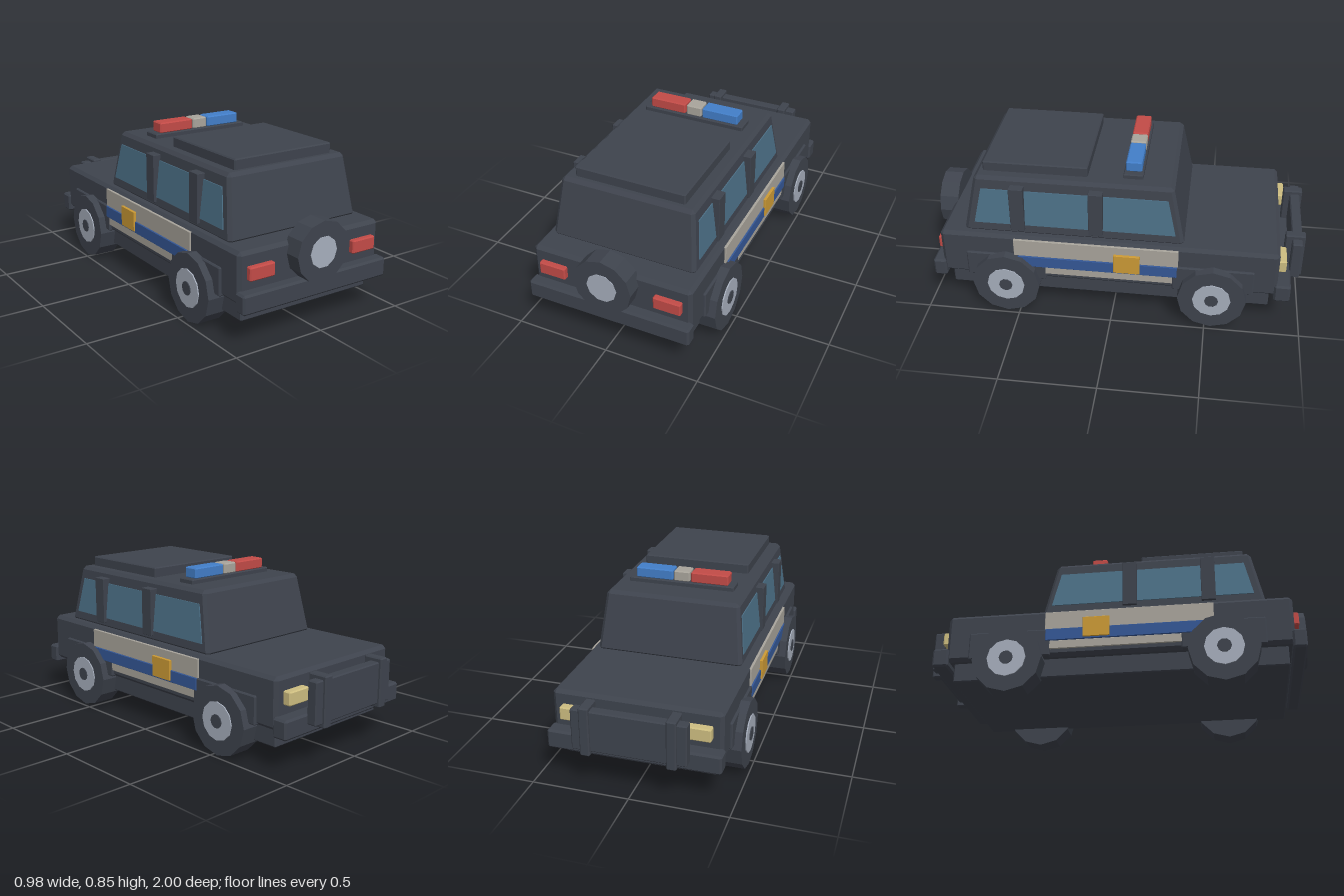
import * as THREE from 'three';
import { ConvexGeometry } from 'three/addons/geometries/ConvexGeometry.js';

const V = (x, y, z) => new THREE.Vector3(x, y, z);

const material = (name, color) => {
  const m = new THREE.MeshStandardMaterial({ color });
  m.name = name;
  return m;
};

// Box between two corners with chamfered edges; warp can reshape its points.
function chamferBox(min, max, bevel, warp = p => p) {
  const points = [];
  const at = (axis, end, inset) => end ? max[axis] - inset : min[axis] + inset;
  for (let i = 0; i < 8; i++) {
    const ends = [i & 1, (i >> 1) & 1, (i >> 2) & 1];
    for (let face = 0; face < 3; face++) {
      const c = ends.map((e, axis) => at(axis, e, axis === face ? 0 : bevel));
      points.push(warp(V(...c)));
    }
  }
  return new ConvexGeometry(points);
}

// Faceted disc; axis is 'x' or 'z'.
function disc(radius, width, sides, axis, spin = 0) {
  const g = new THREE.CylinderGeometry(radius, radius, width, sides).toNonIndexed();
  g.rotateY(spin);
  if (axis === 'x') g.rotateZ(Math.PI / 2);
  else g.rotateX(Math.PI / 2);
  g.computeVertexNormals();
  return g;
}

export function createModel() {
  const car = new THREE.Group();
  car.name = 'patrolCar';

  const paint = material('dark paint', 0x3e434d);
  const glass = material('window glass', 0x4b6f86);
  const red = material('red lamp', 0xc24b47);
  const blue = material('blue lamp', 0x427ec8);
  const navy = material('navy stripe', 0x345796);
  const stone = material('pale stripe', 0xa8a49b);
  const gold = material('gold badge', 0xcc9a35);
  const cream = material('headlight cream', 0xcdbd80);
  const metal = material('wheel metal', 0xa6aebc);

  const add = (name, geometry, mat, position) => {
    const mesh = new THREE.Mesh(geometry, mat);
    mesh.name = name;
    if (position) mesh.position.set(...position);
    car.add(mesh);
    return mesh;
  };
  const box = (name, min, max, mat, bevel = 0.006) => add(name, chamferBox(min, max, bevel), mat);
  // Box given for the +x side, built on one side or the other.
  const sideBox = (name, s, min, max, mat, bevel) => s > 0
    ? box(name, min, max, mat, bevel)
    : box(name, [-max[0], min[1], min[2]], [-min[0], max[1], max[2]], mat, bevel);

  // Lower body
  box('chassis', [-0.39, 0.1, -0.83], [0.39, 0.22, 0.88], paint);
  box('body', [-0.43, 0.2, -0.865], [0.43, 0.46, 0.915], paint, 0.018);
  box('rearBumper', [-0.44, 0.172, 0.9], [0.44, 0.272, 0.97], paint, 0.01);
  box('frontBumper', [-0.44, 0.172, -0.935], [0.44, 0.272, -0.85], paint, 0.01);

  // Cabin tapers towards the roof
  const base = 0.45, roof = 0.773;
  const taper = p => {
    const t = (p.y - base) / (roof - base);
    p.x *= 1 - 0.095 * t;
    p.z = 0.208 + (p.z - 0.208) * (1 - 0.115 * t);
    return p;
  };
  add('cabin', chamferBox([-0.393, base, -0.374], [0.393, roof, 0.79], 0.018, taper), paint);
  box('roofPanel', [-0.295, 0.765, 0.14], [0.295, 0.826, 0.688], paint);

  // Light bar
  box('lightBarBase', [-0.285, 0.765, -0.145], [0.285, 0.797, -0.042], paint, 0.005);
  box('redLamp', [-0.252, 0.795, -0.135], [-0.05, 0.852, -0.052], red);
  box('lampDivider', [-0.043, 0.795, -0.135], [0.043, 0.852, -0.052], stone);
  box('blueLamp', [0.05, 0.795, -0.135], [0.252, 0.852, -0.052], blue);

  // Bull bar
  box('bullBarPlate', [-0.288, 0.22, -0.985], [0.288, 0.437, -0.93], paint);

  // Spare wheel
  add('spareTyre', disc(0.155, 0.102, 12, 'z'), paint, [0, 0.403, 0.946]);
  add('spareHub', disc(0.08, 0.02, 10, 'z', Math.PI / 2), metal, [0, 0.403, 0.99]);

  for (const s of [1, -1]) {
    sideBox('bullBarPost', s, [0.19, 0.2, -1], [0.24, 0.457, -0.895], paint);
    sideBox('headlight', s, [0.243, 0.32, -0.905], [0.38, 0.39, -0.85], cream);
    sideBox('tailLight', s, [0.24, 0.32, 0.9], [0.385, 0.389, 0.943], red);

    // Window band following the cabin slope
    const pane = [];
    for (const d of [-0.004, 0.005]) {
      pane.push(
        V(s * (0.386 + d), 0.51, 0.73), V(s * (0.386 + d), 0.51, -0.325),
        V(s * (0.3635 + d), 0.705, 0.688), V(s * (0.3635 + d), 0.705, -0.282));
    }
    add('sideWindow', new ConvexGeometry(pane), glass);
    for (const z of [0.498, 0.088]) {
      sideBox('windowPillar', s, [0.34, 0.483, z - 0.037], [0.404, 0.735, z + 0.037], paint, 0.002);
    }

    // Side livery
    sideBox('upperStripe', s, [0.42, 0.345, -0.347], [0.439, 0.445, 0.52], stone, 0.002);
    sideBox('middleStripe', s, [0.42, 0.282, -0.342], [0.446, 0.346, 0.5], navy, 0.002);
    sideBox('lowerStripe', s, [0.42, 0.237, -0.33], [0.439, 0.282, 0.36], stone, 0.002);
    sideBox('doorBadge', s, [0.42, 0.29, -0.148], [0.453, 0.4, -0.01], gold, 0.002);

    // Wheels and arches
    for (const z of [0.565, -0.53]) {
      sideBox('wheelArch', s, [0.4, 0.2, z - 0.213], [0.442, 0.347, z + 0.213], paint);
      add('tyre', disc(0.18, 0.122, 12, 'x'), paint, [s * 0.419, 0.18, z]);
      add('wheelHub', disc(0.1, 0.02, 12, 'x'), metal, [s * 0.476, 0.18, z]);
      add('wheelCap', disc(0.036, 0.02, 10, 'x'), paint, [s * 0.481, 0.18, z]);
    }
  }
  return car;
}
